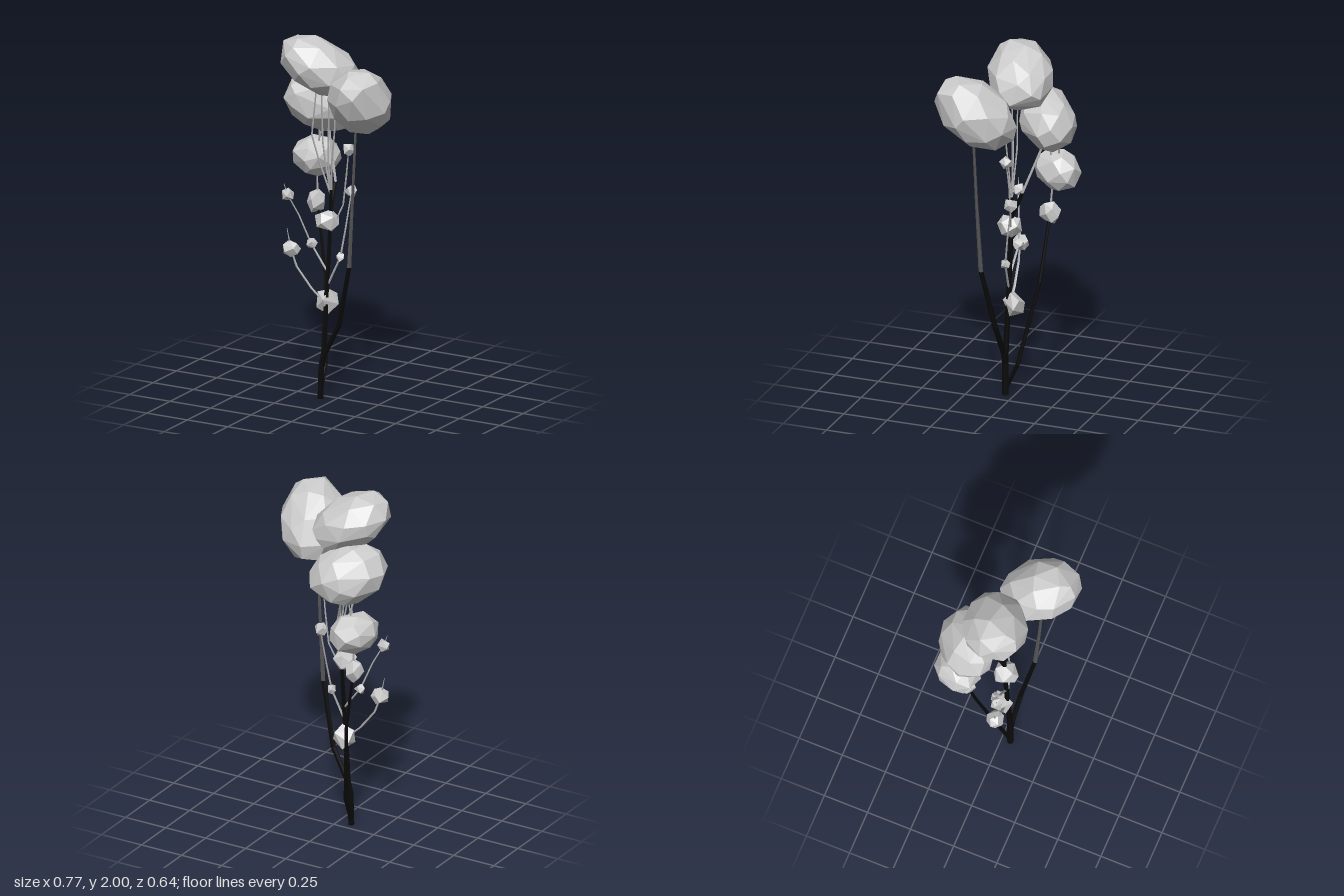
import * as THREE from 'three';
import { ConvexGeometry } from 'three/addons/geometries/ConvexGeometry.js';

const leafMat = new THREE.MeshStandardMaterial({ color: 0xcccccc, flatShading: true });
const barkMat = new THREE.MeshStandardMaterial({ color: 0x0a0a0a, flatShading: true });
const stemMat = new THREE.MeshStandardMaterial({ color: 0x555555, flatShading: true });
const twigMat = new THREE.MeshStandardMaterial({ color: 0xaaaaaa, flatShading: true });

function seeded(seed) {
  let s = seed * 7919 + 17;
  return () => (s = (s * 16807) % 2147483647) / 2147483647;
}

// faceted clump: hull of a tilted, jittered ellipsoid, fitted to a centre and half-size
function clump(name, centre, half, count, seed, tilt = [0, 0, 0], radii = half) {
  const rnd = seeded(seed);
  const turn = new THREE.Euler(...tilt);
  const pts = [];
  for (let i = 0; i < count; i++) {
    const y = 1 - (2 * (i + 0.5)) / count + (rnd() - 0.5) * 0.8 / count;
    const r = Math.sqrt(1 - y * y);
    const a = i * 2.39996 + seed + (rnd() - 0.5) * 0.5;
    pts.push(new THREE.Vector3(r * Math.cos(a), y, r * Math.sin(a))
      .multiply(new THREE.Vector3(...radii)).applyEuler(turn));
  }
  const box = new THREE.Box3().setFromPoints(pts);
  const mid = box.getCenter(new THREE.Vector3());
  const size = box.getSize(new THREE.Vector3());
  const fit = new THREE.Vector3(...half).multiplyScalar(2).divide(size);
  pts.forEach((p) => p.sub(mid).multiply(fit));
  const mesh = new THREE.Mesh(new ConvexGeometry(pts), leafMat);
  mesh.name = name;
  mesh.position.set(...centre);
  return mesh;
}

// tapering branch: level rings lofted through points [x, y, z, radius]
function branch(name, path, mat, sides = 6) {
  const pos = [], idx = [];
  path.forEach(([x, y, z, r], k) => {
    for (let i = 0; i < sides; i++) {
      const a = (i / sides) * Math.PI * 2;
      pos.push(x + r * Math.cos(a), y, z + r * Math.sin(a));
      if (k === 0) continue;
      const j = (i + 1) % sides, lo = (k - 1) * sides, hi = k * sides;
      idx.push(lo + i, hi + i, lo + j, lo + j, hi + i, hi + j);
    }
  });
  const top = (path.length - 1) * sides;
  for (let i = 1; i < sides - 1; i++) {
    idx.push(0, i, i + 1, top, top + i + 1, top + i);
  }
  const geo = new THREE.BufferGeometry();
  geo.setAttribute('position', new THREE.Float32BufferAttribute(pos, 3));
  geo.setIndex(idx);
  geo.computeVertexNormals();
  const mesh = new THREE.Mesh(geo, mat);
  mesh.name = name;
  return mesh;
}

export function createModel() {
  const tree = new THREE.Group();
  tree.name = 'tree';

  // trunk and main limbs
  tree.add(
    branch('trunk', [[-0.08, 0, 0.05, 0.018], [-0.076, 0.18, 0.048, 0.018], [-0.065, 0.25, 0.042, 0.016],
      [-0.06, 0.55, 0.025, 0.014], [-0.05, 0.85, 0.008, 0.012], [-0.043, 1.16, 0, 0.01]], barkMat),
    branch('leftLimb', [[-0.072, 0.18, 0.048, 0.016], [-0.055, 0.25, 0.05, 0.016], [0.04, 0.43, 0.06, 0.015],
      [0.13, 0.78, 0.107, 0.013]], barkMat),
    branch('leftLimbUpper', [[0.13, 0.78, 0.107, 0.013], [0.158, 1.17, 0.12, 0.009],
      [0.185, 1.6, 0.13, 0.007]], stemMat),
    branch('rightLimb', [[-0.08, 0.03, 0.05, 0.014], [-0.085, 0.18, -0.018, 0.012], [-0.15, 0.65, -0.12, 0.01],
      [-0.215, 1.02, -0.153, 0.008]], barkMat),
    branch('rightLimbUpper', [[-0.215, 1.02, -0.153, 0.007], [-0.225, 1.2, -0.165, 0.005],
      [-0.21, 1.38, -0.16, 0.005], [-0.2, 1.55, -0.15, 0.004]], twigMat),
    branch('rightLimbTwig', [[-0.225, 1.2, -0.165, 0.005], [-0.23, 1.35, -0.2, 0.005],
      [-0.21, 1.5, -0.205, 0.004]], twigMat),
    branch('backLimb', [[-0.045, 1.04, 0, 0.012], [-0.05, 1.19, -0.06, 0.011]], barkMat),
    branch('backLimbUpper', [[-0.05, 1.19, -0.06, 0.008], [-0.13, 1.42, -0.135, 0.007],
      [-0.14, 1.6, -0.15, 0.005]], twigMat),
  );

  // thin stems fanning from the trunk top into the crown
  [[-0.145, 1.46, 0.03, -0.115], [-0.1, 1.42, -0.01, -0.11], [-0.06, 1.42, 0, -0.055], [-0.01, 1.5, 0.02, -0.005]]
    .forEach(([x, y, z, endX]) => tree.add(branch('crownStem',
      [[-0.043, 1.13, 0, 0.007], [(x - 0.06) / 2, 1.3, z / 2, 0.005], [x, y, z, 0.005], [endX, 1.74, z, 0.004]],
      twigMat, 5)));

  // side twigs
  tree.add(
    branch('lowerTwig', [[-0.063, 0.52, 0.02, 0.008], [-0.15, 0.6, 0.025, 0.008], [-0.235, 0.71, 0.035, 0.007],
      [-0.27, 0.81, 0.04, 0.005], [-0.29, 0.92, 0.045, 0.002]], twigMat, 5),
    branch('middleTwig', [[-0.055, 0.7, 0.015, 0.008], [-0.165, 0.845, 0.005, 0.006], [-0.225, 1.0, 0.03, 0.005],
      [-0.28, 1.11, 0.055, 0.004], [-0.3, 1.17, 0.06, 0.002]], twigMat, 5),
    branch('leftTwig', [[-0.058, 0.62, 0.02, 0.007], [0.02, 0.795, 0.01, 0.006], [0.04, 0.95, -0.01, 0.005],
      [0.06, 1.155, -0.04, 0.004]], twigMat, 5),
    branch('upperTwig', [[-0.047, 0.92, 0.005, 0.006], [0.02, 1.08, -0.02, 0.005], [0.04, 1.25, -0.02, 0.005],
      [0.06, 1.4, -0.01, 0.003]], twigMat, 5),
  );

  // large foliage
  tree.add(
    clump('topFoliage', [-0.13, 1.835, -0.017], [0.208, 0.165, 0.18], 36, 1, [0, 0.45, -0.45], [0.22, 0.13, 0.17]),
    clump('leftFoliage', [0.198, 1.718, 0.107], [0.187, 0.198, 0.213], 36, 2, [-0.62, 0.4, 0], [0.18, 0.15, 0.235]),
    clump('rightFoliage', [-0.183, 1.59, -0.152], [0.202, 0.16, 0.17], 36, 3, [-0.4, 0.6, 0], [0.22, 0.135, 0.165]),
    clump('lowRightFoliage', [-0.245, 1.275, -0.185], [0.117, 0.107, 0.132], 26, 4, [-0.15, 0.75, 0],
      [0.14, 0.1, 0.115]),
  );

  // small leaf clumps along the twigs
  [
    [[-0.22, 1.03, -0.15], [0.048, 0.065, 0.057], 14],
    [[-0.06, 0.99, 0.02], [0.068, 0.06, 0.068], 14],
    [[-0.065, 0.535, 0.003], [0.056, 0.07, 0.055], 9],
    [[-0.27, 0.81, 0.04], [0.05, 0.045, 0.048], 14],
    [[-0.165, 0.845, 0.005], [0.03, 0.028, 0.028], 9],
    [[0.02, 0.795, 0.01], [0.025, 0.028, 0.025], 9],
    [[-0.28, 1.11, 0.055], [0.035, 0.034, 0.034], 9],
    [[0.06, 1.157, -0.04], [0.035, 0.037, 0.035], 9],
    [[0.06, 1.4, -0.01], [0.034, 0.034, 0.034], 9],
  ].forEach(([c, h, n], i) => tree.add(clump('leafClump', c, h, n, 11 + i)));

  return tree;
}
